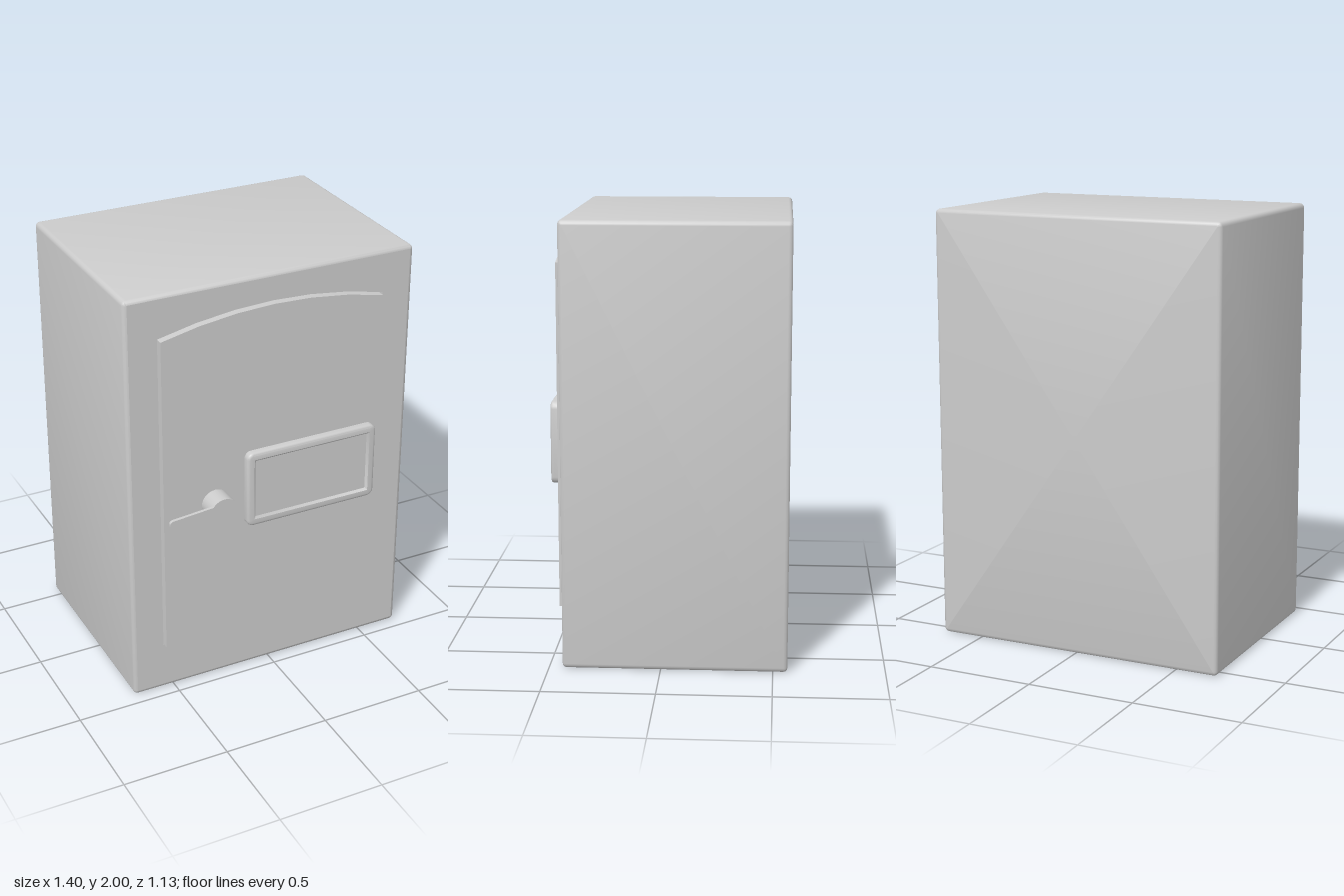
import * as THREE from 'three';
import { toCreasedNormals } from 'three/addons/utils/BufferGeometryUtils.js';

const grey = new THREE.MeshStandardMaterial({ color: 0xcccccc });
const FRONT = 0.44, BACK = -0.565;

// Counter-clockwise rounded rectangle around (cx, cy), shrunk by inset
function roundedRect(cx, cy, w, h, r, inset = 0, steps = 4) {
  const pts = [], rad = Math.max(r - inset, 0.003);
  const hx = w / 2 - inset - rad, hy = h / 2 - inset - rad;
  [[1, 1], [-1, 1], [-1, -1], [1, -1]].forEach(([sx, sy], k) => {
    for (let i = 0; i <= steps; i++) {
      const a = (k + i / steps) * Math.PI / 2;
      pts.push(new THREE.Vector2(cx + sx * hx + rad * Math.cos(a), cy + sy * hy + rad * Math.sin(a)));
    }
  });
  return pts;
}

// Panel outline with straight sides and shallow arched top and bottom
function archedOutline(x0, x1, inset = 0) {
  const pts = [], n = 6;
  for (let i = 0; i <= n; i++) {
    const x = x0 + (x1 - x0) * i / n;
    pts.push(new THREE.Vector2(x, 0.14 + inset + 0.1 * (x / 0.55) ** 2));
  }
  for (let i = n; i >= 0; i--) {
    const x = x0 + (x1 - x0) * i / n;
    pts.push(new THREE.Vector2(x, 1.87 - inset - 0.07 * (x / 0.55) ** 2));
  }
  return pts;
}

// Skin over a list of { pts, z } rings, with optional end caps
function loft(rings, capStart, capEnd) {
  const pos = [], n = rings[0].pts.length;
  const put = (r, j) => pos.push(r.pts[j % n].x, r.pts[j % n].y, r.z);
  for (let i = 0; i < rings.length - 1; i++) {
    const a = rings[i], b = rings[i + 1];
    for (let j = 0; j < n; j++) {
      put(a, j); put(a, j + 1); put(b, j + 1);
      put(a, j); put(b, j + 1); put(b, j);
    }
  }
  const cap = (r, flip) => {
    const c = r.pts.reduce((s, p) => s.add(p), new THREE.Vector2()).divideScalar(n);
    for (let j = 0; j < n; j++) {
      pos.push(c.x, c.y, r.z);
      put(r, flip ? j + 1 : j);
      put(r, flip ? j : j + 1);
    }
  };
  if (capStart) cap(rings[0], true);
  if (capEnd) cap(rings[rings.length - 1], false);
  const g = new THREE.BufferGeometry();
  g.setAttribute('position', new THREE.Float32BufferAttribute(pos, 3));
  return toCreasedNormals(g, 0.6);
}

function part(parent, name, geometry) {
  const m = new THREE.Mesh(geometry, grey);
  m.name = name;
  parent.add(m);
  return m;
}

// Steps of a quarter-round edge: [inset, drop]
const roundEdge = (r, n = 3) => Array.from({ length: n + 1 }, (_, i) => {
  const a = i / n * Math.PI / 2;
  return [r * (1 - Math.cos(a)), r * (1 - Math.sin(a))];
});

export function createModel() {
  const model = new THREE.Group();
  model.name = 'safe';

  // Cabinet shell with softened edges, open at the front face
  const cabinet = new THREE.Group();
  cabinet.name = 'cabinet';
  model.add(cabinet);
  const edge = roundEdge(0.018);
  const bodyRing = (inset, z) => ({ pts: roundedRect(0, 1, 1.404, 2, 0.022, inset), z });
  const bodyRings = [
    ...[...edge].reverse().map(([i, d]) => bodyRing(i, BACK + d)),
    ...edge.map(([i, d]) => bodyRing(i, FRONT - d)),
  ];
  part(cabinet, 'shell', loft(bodyRings, true, false));

  // Front face around the door opening, and the shallow recess behind it
  const opening = archedOutline(-0.55, 0.55);
  const face = new THREE.Shape(bodyRings[bodyRings.length - 1].pts);
  face.holes.push(new THREE.Path(opening));
  part(cabinet, 'frontFrame', new THREE.ShapeGeometry(face)).position.z = FRONT;
  part(cabinet, 'doorRecess', loft([{ pts: opening, z: FRONT }, { pts: opening, z: 0.4 }], false, true));

  // Door, leaving a gap on the hinge side
  const doorPts = archedOutline(-0.548, 0.535, 0.003);
  part(model, 'door', loft([{ pts: doorPts, z: 0.402 }, { pts: doorPts, z: 0.47 }], true, true));

  // Raised panel with a rounded rim and sunken centre
  const panelProfile = [
    [0, 0.465],
    ...roundEdge(0.014).map(([i, d]) => [i, 0.505 - d]),
    [0.034, 0.505], [0.044, 0.495],
  ];
  part(model, 'controlPanel', loft(panelProfile.map(([inset, z]) => (
    { pts: roundedRect(0.18, 0.9875, 0.66, 0.375, 0.032, inset), z })), true, true));

  // Handle: round hub and a tapering lever that shares its front disc
  const handle = new THREE.Group();
  handle.name = 'handle';
  handle.position.set(-0.295, 0.952, 0);
  model.add(handle);
  const hub = part(handle, 'hub', new THREE.CylinderGeometry(0.067, 0.067, 0.085, 28));
  hub.rotation.x = Math.PI / 2;
  hub.position.z = 0.5085;
  const lever = new THREE.Shape();
  const a = Math.PI - 0.6;
  lever.absarc(0, 0, 0.067, -a, a, false);
  lever.absarc(-0.245, 0, 0.021, Math.PI / 2, Math.PI * 1.5, false);
  lever.closePath();
  part(handle, 'lever', toCreasedNormals(new THREE.ExtrudeGeometry(lever,
    { depth: 0.015, bevelEnabled: false, curveSegments: 24 }), 0.6)).position.z = 0.55;

  return model;
}
